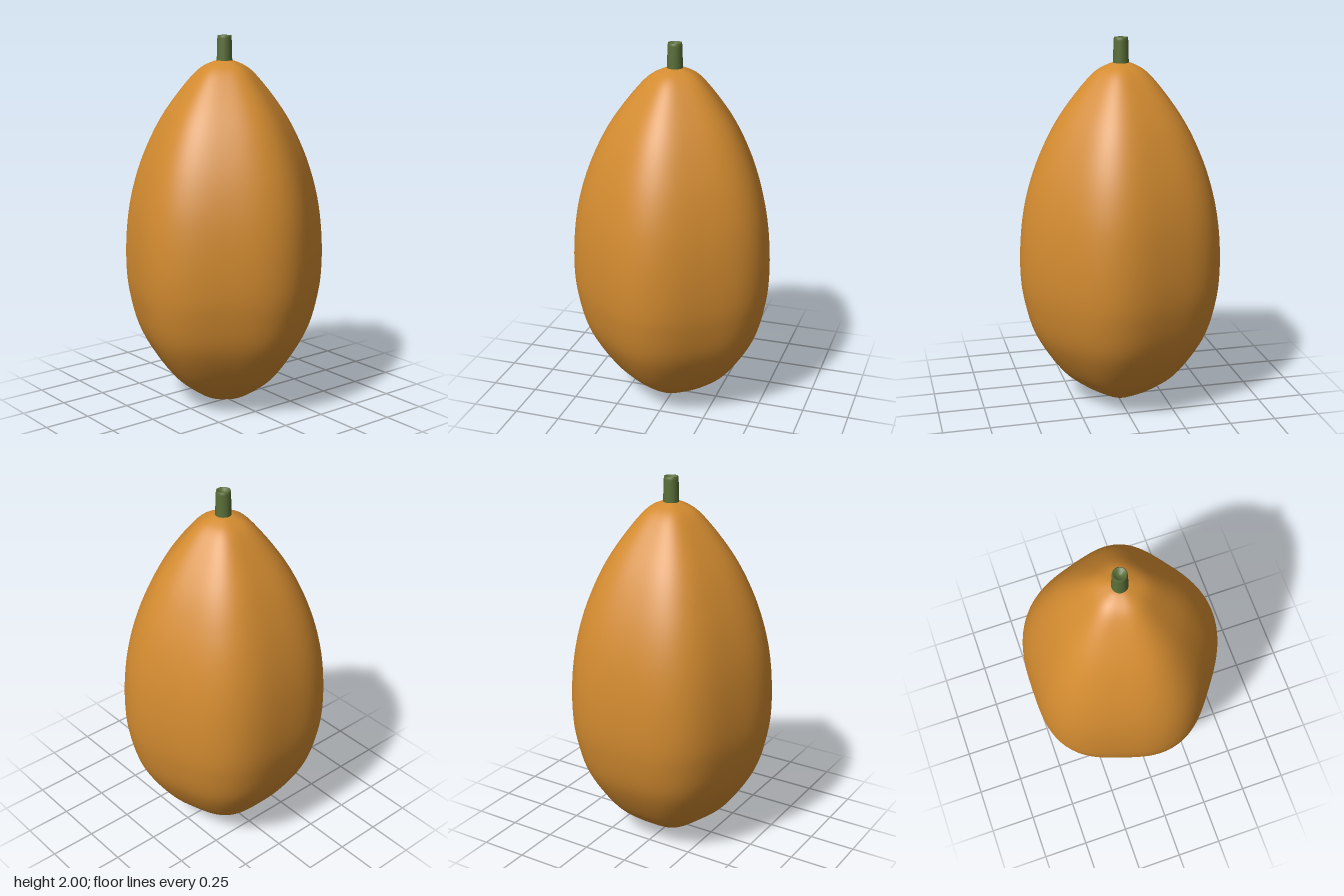
import * as THREE from 'three';
import { mergeVertices } from 'three/addons/utils/BufferGeometryUtils.js';

const AXIS_X = -0.02;
const RADIUS = 0.53;

const material = (name, color) => {
  const m = new THREE.MeshStandardMaterial({ color });
  m.name = name;
  return m;
};

// Egg-shaped body with five soft lobes, one of them pointing to +x
function bodyGeometry() {
  const profile = [
    [0, 0.007], [0.19, 0.025], [0.42, 0.1], [0.625, 0.2], [0.86, 0.4], [0.967, 0.6],
    [1, 0.78], [0.98, 1], [0.912, 1.2], [0.785, 1.4], [0.59, 1.6], [0.3, 1.8], [0.12, 1.863], [0, 1.872],
  ].map(([r, y]) => new THREE.Vector2(r * RADIUS, y));
  const points = new THREE.SplineCurve(profile).getPoints(78);
  points.forEach((p) => { p.x = Math.max(p.x, 0); });
  points[0].x = points[points.length - 1].x = 0;

  let geo = new THREE.LatheGeometry(points, 100);
  const pos = geo.attributes.position;
  for (let i = 0; i < pos.count; i++) {
    const x = pos.getX(i), z = pos.getZ(i);
    const k = 1 + 0.035 * Math.cos(5 * Math.atan2(z, x));
    pos.setX(i, x * k);
    pos.setZ(i, z * k);
  }
  // Weld the seam so the shading is smooth all around
  geo.deleteAttribute('uv');
  geo.deleteAttribute('normal');
  geo = mergeVertices(geo, 1e-5);
  geo.computeVertexNormals();
  return geo;
}

export function createModel() {
  const group = new THREE.Group();
  const orange = material('orange skin', 0xd38b30);
  const green = material('stem green', 0x5a6e38);

  const add = (name, geo, mat, y = 0) => {
    const mesh = new THREE.Mesh(geo, mat);
    mesh.name = name;
    mesh.position.set(AXIS_X, y, 0);
    group.add(mesh);
    return mesh;
  };

  add('fruitBody', bodyGeometry(), orange);

  // Slightly tapered stem with a shallow hollow in its cut end
  const stem = [[0.042, 1.84], [0.041, 1.88], [0.038, 1.985], [0.036, 2], [0.031, 2], [0.022, 1.99], [0.011, 1.984], [0, 1.982]];
  add('stem', new THREE.LatheGeometry(stem.map(([r, y]) => new THREE.Vector2(r, y)), 24), green);

  // Small blossom scar under the fruit
  const scar = add('blossomScar', new THREE.SphereGeometry(0.042, 16, 8), green, 0.011);
  scar.scale.y = 0.011 / 0.042;

  return group;
}
